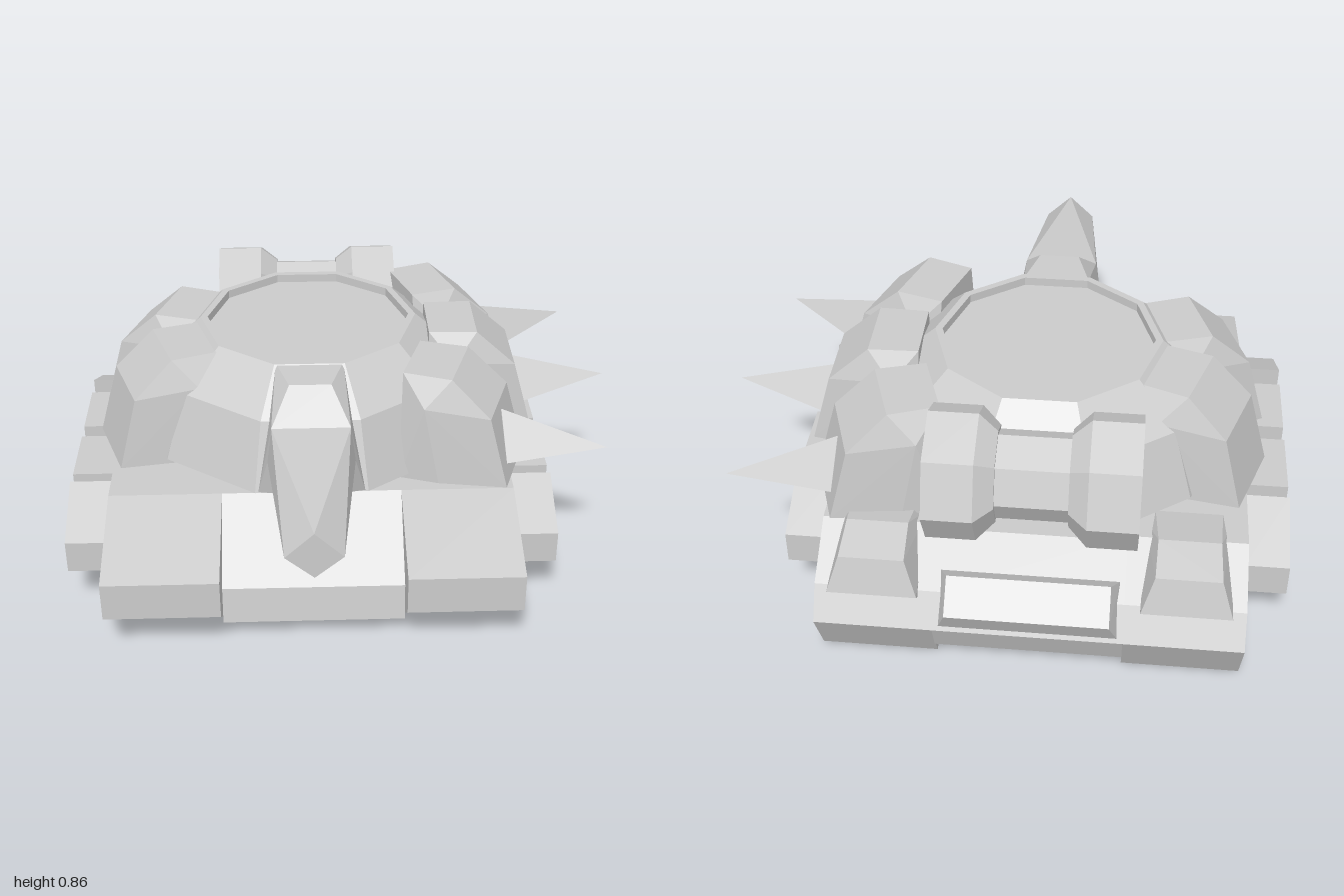
import * as THREE from 'three';
import { ConvexGeometry } from 'three/addons/geometries/ConvexGeometry.js';

const material = new THREE.MeshStandardMaterial({ color: 0xcccccc, flatShading: true });

function add(parent, name, geometry) {
  const mesh = new THREE.Mesh(geometry, material);
  mesh.name = name;
  parent.add(mesh);
  return mesh;
}

// Side profile given as [z, y] pairs, extruded from x0 to x1
function slab(profile, x0, x1) {
  const shape = new THREE.Shape(profile.map(([z, y]) => new THREE.Vector2(z, y)));
  const geo = new THREE.ExtrudeGeometry(shape, { depth: x1 - x0, bevelEnabled: false });
  return geo.rotateY(-Math.PI / 2).translate(x1, 0, 0);
}

// Convex solid from [x, y, z] corners
const hull = (points) => new ConvexGeometry(points.map((p) => new THREE.Vector3(...p)));

// Mirrors [x, y, z] corners across x = 0
const mirrorX = (points) => points.flatMap(([x, y, z]) => [[x, y, z], [-x, y, z]]);

export function createModel() {
  const model = new THREE.Group();
  model.name = 'spikedTank';
  const body = new THREE.Group();
  body.name = 'body';
  body.position.x = -0.13;
  model.add(body);

  // Hull between the tracks, with a recessed belly
  add(body, 'hull', slab([
    [0.38, 0.42], [0.63, 0.205], [0.65, 0.08], [0.6, 0.08], [0.25, 0.17],
    [-0.8, 0.1], [-0.92, 0.08], [-0.965, 0.19], [-0.9, 0.3], [-0.71, 0.42],
  ], -0.305, 0.305));

  // Tracks, armour blocks and rear exhaust housings on both sides
  const track = [
    [0.38, 0.42], [0.745, 0.315], [0.745, 0.18], [0.515, 0],
    [-0.87, 0], [-0.965, 0.19], [-0.9, 0.3], [-0.71, 0.42],
  ];
  const blocks = [
    [[0.485, 0.3], [0.485, 0.185], [0.265, 0.06], [0.265, 0.405]],
    [[0.195, 0.07], [0.195, 0.39], [-0.06, 0.39], [-0.06, 0.07]],
    [[-0.13, 0.07], [-0.13, 0.39], [-0.385, 0.39], [-0.385, 0.07]],
    [[-0.455, 0.405], [-0.455, 0.06], [-0.685, 0.185], [-0.685, 0.3]],
  ];
  for (const s of [-1, 1]) {
    const span = (a, b) => (s > 0 ? [a, b] : [-b, -a]);
    add(body, 'track', slab(track, ...span(0.305, 0.69)));
    for (const block of blocks) add(body, 'sideBlock', slab(block, ...span(0.69, 0.835)));
    const housing = [];
    for (const [z, y, half] of [[-0.58, 0.42, 0.11], [-0.76, 0.46, 0.1], [-0.9, 0.425, 0.105],
      [-0.935, 0.3, 0.145], [-0.88, 0.26, 0.145], [-0.6, 0.38, 0.14]]) {
      housing.push([s * 0.5 - half, y, z], [s * 0.5 + half, y, z]);
    }
    add(body, 'exhaustHousing', hull(housing));
  }

  // Bevelled plate on the sloping stern
  add(body, 'rearPlate', hull(mirrorX([
    [0.287, 0.34, -0.84], [0.287, 0.2, -0.955],
    [0.26, 0.385, -0.91], [0.26, 0.29, -1.0], [0.275, 0.23, -0.97],
  ])));

  // Ten-sided turret dome on a narrow pivot, with a shallow sunken roof
  const domeProfile = [[0, 0.42], [0.25, 0.42], [0.25, 0.445], [0.62, 0.445], [0.54, 0.68],
    [0.385, 0.815], [0.36, 0.815], [0.36, 0.785], [0, 0.785]]
    .map(([r, y]) => new THREE.Vector2(r, y));
  const dome = add(body, 'turretDome',
    new THREE.LatheGeometry(domeProfile, 10, Math.PI / 10, Math.PI * 2));
  dome.position.z = -0.17;

  // Armour pods around the dome: radius, height, half width
  const podSections = [[0.37, 0.8, 0.12], [0.54, 0.8, 0.125], [0.68, 0.675, 0.135],
    [0.75, 0.425, 0.145], [0.52, 0.425, 0.185], [0.38, 0.425, 0.185], [0.46, 0.7, 0.175]];
  const podGeometry = hull(podSections.flatMap(([r, y, w]) => [[r, y, w], [r, y, -w]]));
  const spikeGeometry = hull([[0.69, 0.645, 0], [0.735, 0.48, 0.08], [0.735, 0.48, -0.08],
    [0.6, 0.55, 0], [1.06, 0.555, 0]]);
  // x offset, z origin, angle in degrees, has a spike
  const pods = [
    [0.055, -0.17, 0, true],
    [0, -0.35, 18.5, true],
    [0, 0.01, -18.5, true],
    [0, -0.165, 161, false],
    [0, -0.165, 199, false],
  ];
  for (const [x, z, angle, spiked] of pods) {
    const pod = new THREE.Group();
    pod.name = 'armourPod';
    pod.position.set(x, 0, z);
    pod.rotation.y = THREE.MathUtils.degToRad(angle);
    add(pod, 'podShell', podGeometry);
    if (spiked) {
      const spike = add(pod, 'spike', spikeGeometry);
      if (angle === 0) spike.position.x = -0.03;
    }
    body.add(pod);
  }

  // Cannon: breech running out from the roof edge, barrel tapering to a diamond muzzle
  const collar = [[0.13, 0.715, 0.45], [0.145, 0.6, 0.47], [0.1, 0.5, 0.51]];
  add(body, 'cannonBreech', hull(mirrorX([
    ...collar, [0.115, 0.812, 0.18], [0.07, 0.812, 0.335], [0.18, 0.45, 0.42], [0.18, 0.45, 0.3],
  ])));
  add(body, 'cannonBarrel', hull([
    ...mirrorX([...collar, [0.09, 0.6, 1]]), [0, 0.685, 1], [0, 0.525, 1],
  ]));

  // Rear drum: two wide lugs joined by a narrower waist
  const drum = [[-0.52, 0.7], [-0.56, 0.8], [-0.675, 0.855], [-0.84, 0.785],
    [-0.905, 0.61], [-0.83, 0.47], [-0.7, 0.46], [-0.52, 0.55]];
  const ring = (x, k) => drum.map(([z, y]) => [x, 0.66 + (y - 0.66) * k, -0.715 + (z + 0.715) * k]);
  add(body, 'drumWaist', hull([...ring(-0.12, 0.66), ...ring(0.12, 0.66)]));
  for (const s of [-1, 1]) {
    add(body, 'drumLug', hull([...ring(s * 0.335, 1), ...ring(s * 0.175, 1), ...ring(s * 0.115, 0.72)]));
  }

  return model;
}
